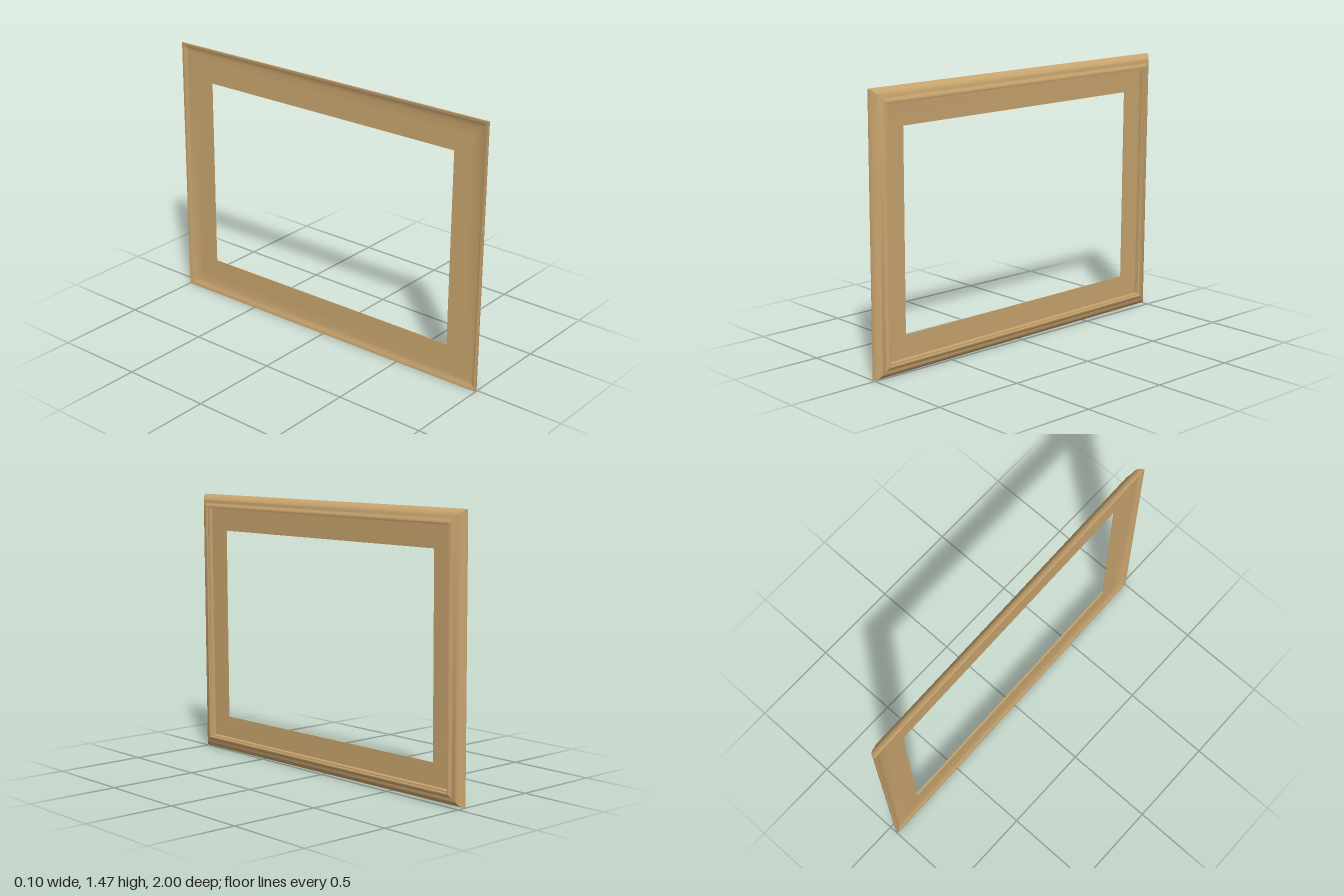
import * as THREE from 'three';
import { toCreasedNormals } from 'three/addons/utils/BufferGeometryUtils.js';

const HALF_Z = 1, HALF_Y = 0.735;
const material = new THREE.MeshStandardMaterial({ color: 0xc8a46e });

// Sweeps a closed profile of [inset from outer edge, depth x] around the mitred rectangle
function mitredFrame(name, profile) {
  const corners = [[1, 1], [-1, 1], [-1, -1], [1, -1]];
  const positions = [];
  const point = ([inset, x], k) => {
    const [sz, sy] = corners[k % 4];
    return [x, sy * (HALF_Y - inset), sz * (HALF_Z - inset)];
  };
  profile.forEach((p, i) => {
    const q = profile[(i + 1) % profile.length];
    for (let k = 0; k < 4; k++) {
      const a = point(p, k), b = point(q, k), c = point(q, k + 1), d = point(p, k + 1);
      positions.push(...a, ...b, ...c, ...a, ...c, ...d);
    }
  });
  const geometry = new THREE.BufferGeometry();
  geometry.setAttribute('position', new THREE.Float32BufferAttribute(positions, 3));
  const mesh = new THREE.Mesh(toCreasedNormals(geometry, 0.6), material);
  mesh.name = name;
  return mesh;
}

export function createModel() {
  const model = new THREE.Group();
  model.name = 'pictureFrame';

  // Rounded outer face of the moulding
  const dome = new THREE.SplineCurve([
    [0, -0.025], [0.006, -0.01], [0.016, 0.003], [0.03, 0.012], [0.048, 0.019], [0.06, 0.026],
  ].map(([d, x]) => new THREE.Vector2(d, x))).getPoints(16).map((v) => [v.x, v.y]);

  // Moulding: dome, raised lip, small inner step, hollowed back
  const moulding = mitredFrame('moulding', [
    [0, -0.031], ...dome,
    [0.064, 0.028], [0.069, 0.028], [0.07, 0.018],
    [0.079, 0.016], [0.08, -0.007],
    [0.092, -0.012], [0.07, -0.013], [0.045, -0.016], [0.025, -0.021], [0.01, -0.031],
  ]);

  // Thin flat border around the opening
  const border = mitredFrame('innerBorder', [
    [0.075, -0.012], [0.075, -0.007], [0.2, -0.009], [0.2, -0.013],
  ]);

  // The whole frame leans and turns very slightly
  const frame = new THREE.Group();
  frame.name = 'frame';
  frame.add(moulding, border);
  frame.position.y = HALF_Y;
  frame.rotation.set(0, 0.018, -0.007);
  model.add(frame);
  return model;
}
